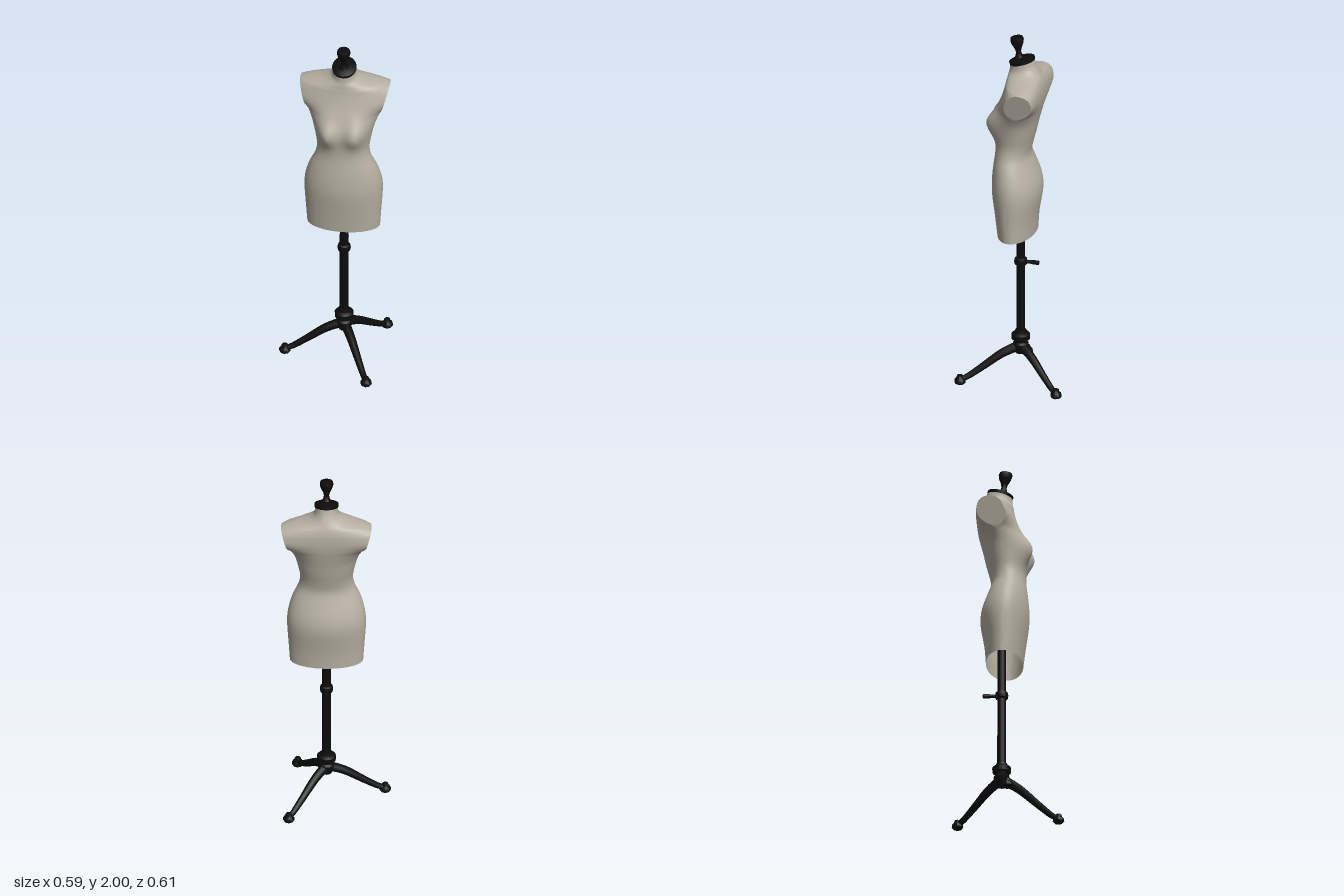
import * as THREE from 'three';
import { toCreasedNormals } from 'three/addons/utils/BufferGeometryUtils.js';

const POLE_Z = -0.022;

export function createModel() {
  const linen = new THREE.MeshStandardMaterial({ color: 0xb6b0a2, side: THREE.DoubleSide });
  linen.name = 'linen';
  const black = new THREE.MeshStandardMaterial({ color: 0x0c0c0c });
  black.name = 'black';

  const root = new THREE.Group();
  root.name = 'dressForm';
  root.position.x = 0.048;

  const add = (name, geometry, material, x = 0, y = 0, z = 0, parent = root) => {
    const mesh = new THREE.Mesh(geometry, material);
    mesh.name = name;
    mesh.position.set(x, y, z);
    parent.add(mesh);
    return mesh;
  };
  const lathe = (profile, sides) => toCreasedNormals(
    new THREE.LatheGeometry(profile.map(([r, y]) => new THREE.Vector2(r, y)), sides), 0.7);

  // Body, open at the hem
  add('torso', torsoGeometry(), linen);

  // Neck cap, tilted forward, with a flared finial
  const cap = add('neckCap', lathe([[0, -0.012], [0.064, -0.012], [0.065, 0.004], [0.045, 0.012], [0, 0.018]], 24),
    black, 0, 1.868, -0.029);
  cap.scale.z = 1.1;
  cap.rotation.x = 0.27;
  const finial = add('finial', lathe([[0, 0], [0.028, 0], [0.019, 0.015], [0.014, 0.035], [0.018, 0.055],
    [0.032, 0.085], [0.037, 0.105], [0.034, 0.12], [0, 0.125]], 14), black, 0, 1.875, -0.014);
  finial.rotation.x = 0.12;

  const stand = new THREE.Group();
  stand.name = 'stand';
  stand.position.z = POLE_Z;
  root.add(stand);

  // Pole with height collar and clamp screw
  add('pole', new THREE.CylinderGeometry(0.023, 0.024, 1.66, 16), black, 0, 1.02, 0, stand);
  add('heightCollar', lathe([[0.024, -0.022], [0.033, -0.016], [0.036, 0], [0.033, 0.016], [0.024, 0.022]], 16),
    black, 0, 0.685, 0, stand);
  const screw = add('clampScrew', lathe([[0, 0], [0.011, 0], [0.009, 0.05], [0.012, 0.07], [0.012, 0.1], [0, 0.103]], 10),
    black, 0, 0.685, 0, stand);
  screw.rotation.x = -Math.PI / 2;

  // Hub that joins the legs
  add('hub', lathe([[0, 0.148], [0.028, 0.15], [0.042, 0.18], [0.043, 0.205], [0.033, 0.215], [0.036, 0.226],
    [0.05, 0.232], [0.051, 0.258], [0.042, 0.266], [0.032, 0.27], [0.03, 0.282], [0.022, 0.284]], 16),
    black, 0, 0, 0, stand);

  // Three tapered legs with round feet
  const feet = [[-0.313, 0.051], [0.158, 0.293], [0.198, -0.251]];
  for (const [x, z] of feet) {
    add('leg', legGeometry(x, z), black, 0, 0, 0, stand);
    add('foot', lathe([[0, 0], [0.024, 0], [0.031, 0.008], [0.03, 0.024], [0.02, 0.034],
      [0.016, 0.048], [0, 0.054]], 8), black, x, 0, z, stand);
  }
  return root;
}

// Leg tube, thinning towards the foot
function legGeometry(x, z) {
  const curve = new THREE.CatmullRomCurve3([[0.03, 0.19], [0.3, 0.155], [0.65, 0.082], [0.88, 0.036], [1, 0.022]]
    .map(([t, y]) => new THREE.Vector3(x * t, y, z * t)));
  const steps = 16, sides = 10;
  const geo = new THREE.TubeGeometry(curve, steps, 0.027, sides);
  const pos = geo.attributes.position, v = new THREE.Vector3();
  for (let i = 0; i < pos.count; i++) {
    const t = Math.floor(i / (sides + 1)) / steps;
    const c = curve.getPointAt(t);
    v.fromBufferAttribute(pos, i).sub(c).multiplyScalar(1 - 0.45 * t).add(c);
    pos.setXYZ(i, v.x, v.y, v.z);
  }
  geo.computeVertexNormals();
  return geo;
}

function torsoGeometry() {
  // Sections: height, half width, front z, back z
  const rows = [
    [0.865, 0.196, 0.093, -0.106], [0.97, 0.203, 0.106, -0.114], [1.1, 0.211, 0.124, -0.135],
    [1.18, 0.205, 0.126, -0.127], [1.263, 0.181, 0.119, -0.098], [1.326, 0.152, 0.111, -0.078],
    [1.385, 0.141, 0.106, -0.087], [1.45, 0.15, 0.1, -0.104], [1.51, 0.163, 0.094, -0.117],
    [1.555, 0.178, 0.092, -0.128], [1.6, 0.203, 0.088, -0.139], [1.63, 0.243, 0.082, -0.146],
    [1.675, 0.31, 0.068, -0.152], [1.72, 0.295, 0.055, -0.153], [1.74, 0.272, 0.05, -0.151],
    [1.757, 0.243, 0.047, -0.147], [1.772, 0.19, 0.044, -0.142], [1.789, 0.12, 0.042, -0.134],
    [1.81, 0.076, 0.038, -0.12], [1.835, 0.062, 0.036, -0.105], [1.87, 0.06, 0.036, -0.095],
  ];
  const profile = new THREE.CubicInterpolant(rows.map((_, i) => i), rows.flat(), 4);
  const sub = 3, arc = 26, chord = 6;
  const ringCount = (rows.length - 1) * sub + 1, perRing = 2 * (arc + chord);
  const smooth = THREE.MathUtils.smoothstep;
  const positions = [], index = [];

  for (let i = 0; i < ringCount; i++) {
    const [y, w, front, back] = profile.evaluate(i / sub);
    // Flat, sloping arm plates cut the shoulders
    const limit = y > 1.5 ? Math.min(w, 0.2 + (y - 1.6) * 0.27) : w;
    const cut = Math.acos(limit / w);
    const mid = (front + back) / 2, depth = (front - back) / 2;
    const shift = -0.022 * smooth(y, 1.52, 1.64) * (1 - smooth(y, 1.76, 1.8));
    const tilt = 0.27 * smooth(y, 1.78, 1.86);
    const angles = [];
    for (let j = 0; j < arc; j++) angles.push(cut + (Math.PI - 2 * cut) * j / arc);
    for (let j = 0; j < chord; j++) angles.push(Math.PI - cut + 2 * cut * j / chord);
    for (const a of [...angles, ...angles.map(t => t + Math.PI)]) {
      const s = Math.sin(a);
      const x = THREE.MathUtils.clamp(w * Math.cos(a), -limit, limit);
      let z = mid + depth * s + shift * (x / limit) ** 2;
      // Bust
      for (const side of [-1, 1]) {
        z += 0.078 * Math.max(0, s) * Math.exp(-0.5 * (((x - side * 0.09) / 0.05) ** 2 + ((y - 1.51) / 0.058) ** 2));
      }
      positions.push(x, y + tilt * (mid - z), z);
    }
  }
  for (let i = 0; i < ringCount - 1; i++) {
    for (let j = 0; j < perRing; j++) {
      const k = (j + 1) % perRing;
      const a = i * perRing + j, b = i * perRing + k, c = a + perRing, d = b + perRing;
      index.push(a, c, b, b, c, d);
    }
  }
  const geo = new THREE.BufferGeometry();
  geo.setAttribute('position', new THREE.Float32BufferAttribute(positions, 3));
  geo.setIndex(index);
  return toCreasedNormals(geo, 0.6);
}
